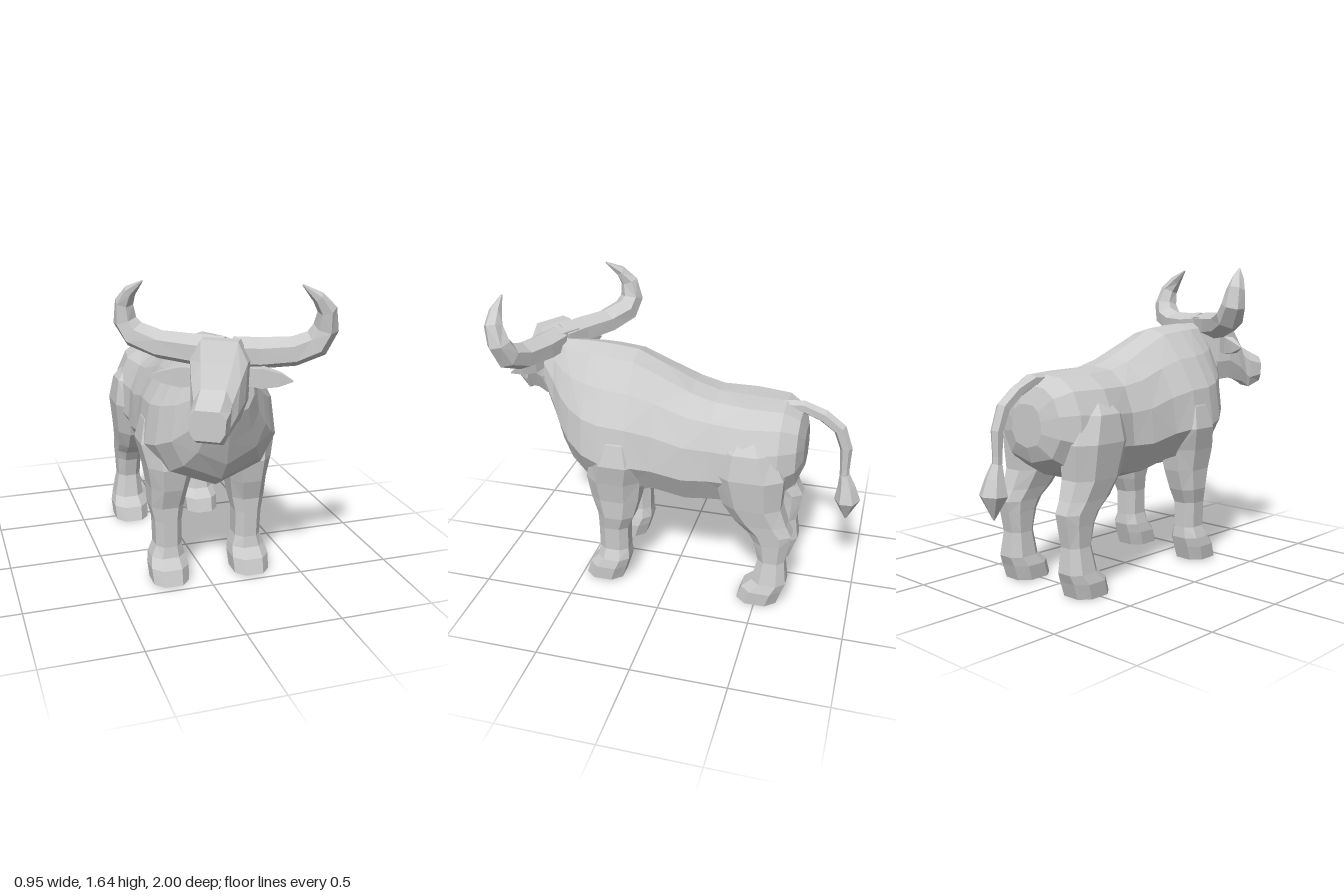
import * as THREE from 'three';

const hide = new THREE.MeshStandardMaterial({ color: 0xcccccc, flatShading: true });
hide.name = 'grey hide';
const CX = 0.02; // the trunk's mirror plane

// Skin a list of equal-sized rings of Vector3, close both ends, face outward.
function loft(name, rings) {
  const n = rings[0].length, tris = [];
  for (let i = 0; i + 1 < rings.length; i++) {
    for (let j = 0; j < n; j++) {
      const k = (j + 1) % n, a = rings[i], b = rings[i + 1];
      if (i % 2 === j % 2) tris.push([a[j], a[k], b[k]], [a[j], b[k], b[j]]);
      else tris.push([a[j], a[k], b[j]], [a[k], b[k], b[j]]);
    }
  }
  [rings[0], rings[rings.length - 1]].forEach((ring, end) => {
    const c = ring.reduce((s, p) => s.add(p), new THREE.Vector3()).divideScalar(n);
    for (let j = 0; j < n; j++) {
      const k = (j + 1) % n;
      tris.push(end ? [ring[j], ring[k], c] : [ring[k], ring[j], c]);
    }
  });
  const cross = new THREE.Vector3();
  const volume = tris.reduce((s, [a, b, c]) => s + a.dot(cross.crossVectors(b, c)), 0);
  if (volume < 0) tris.forEach(t => t.reverse());
  const geo = new THREE.BufferGeometry().setFromPoints(tris.flat());
  geo.computeVertexNormals();
  const mesh = new THREE.Mesh(geo, hide);
  mesh.name = name;
  return mesh;
}

// Tapered tube along [x, y, z, radius] stations; side is a fixed ring axis.
function taper(name, path, side, sides = 6, flatten = 1) {
  const pts = path.map(p => new THREE.Vector3(p[0], p[1], p[2]));
  const rings = path.map((p, i) => {
    const t = pts[Math.min(i + 1, pts.length - 1)].clone().sub(pts[Math.max(i - 1, 0)]).normalize();
    const u = side.clone().addScaledVector(t, -side.dot(t)).normalize();
    const v = new THREE.Vector3().crossVectors(t, u);
    return Array.from({ length: sides }, (_, j) => {
      const a = ((j + 0.5) / sides) * Math.PI * 2;
      return pts[i].clone().addScaledVector(u, Math.cos(a) * p[3] * flatten).addScaledVector(v, Math.sin(a) * p[3]);
    });
  });
  return loft(name, rings);
}

// Trunk and neck: [z, bottom, top, halfWidth, x shift]
function makeTrunk() {
  const rear = [[0, 1], [0.45, 0.98], [0.78, 0.86], [0.96, 0.64], [1, 0.36], [0.72, 0.1], [0, 0]];
  const fore = [[0, 1], [0.32, 0.96], [0.64, 0.79], [0.91, 0.58], [1, 0.32], [0.76, 0.13], [0, 0]];
  const sections = [
    [-0.695, 0.75, 0.97, 0.11, 0], [-0.665, 0.67, 1.06, 0.215, 0], [-0.58, 0.6, 1.11, 0.28, 0],
    [-0.4, 0.55, 1.12, 0.32, 0], [-0.22, 0.52, 1.13, 0.292, 0], [-0.09, 0.505, 1.17, 0.312, 0],
    [0.08, 0.53, 1.25, 0.322, 0], [0.22, 0.535, 1.315, 0.35, 0], [0.36, 0.535, 1.33, 0.35, 0],
    [0.46, 0.565, 1.335, 0.32, 0], [0.55, 0.63, 1.335, 0.262, 0], [0.615, 0.73, 1.335, 0.2, 0.005],
    [0.67, 0.86, 1.34, 0.15, -0.005], [0.735, 1.01, 1.35, 0.12, -0.025],
  ];
  return loft('trunk', sections.map(([z, lo, hi, w, dx]) => {
    const f = THREE.MathUtils.clamp((z + 0.3) / 0.5, 0, 1);
    const half = rear.map(([x, y], i) => [
      THREE.MathUtils.lerp(x, fore[i][0], f) * w,
      lo + THREE.MathUtils.lerp(y, fore[i][1], f) * (hi - lo)]);
    const mirror = half.slice(1, -1).reverse().map(([x, y]) => [-x, y]);
    return [...half, ...mirror].map(([x, y]) => new THREE.Vector3(CX + dx + x, y, z));
  }));
}

// Legs: [y, z front, z back, x inner, x outer] measured from the mirror plane
const foreLeg = [
  [0.02, 0.475, 0.265, 0.13, 0.32], [0.1, 0.45, 0.24, 0.125, 0.325], [0.15, 0.405, 0.225, 0.135, 0.315],
  [0.21, 0.395, 0.23, 0.152, 0.29], [0.35, 0.395, 0.23, 0.15, 0.295], [0.43, 0.395, 0.195, 0.135, 0.312],
  [0.54, 0.43, 0.165, 0.115, 0.315], [0.66, 0.45, 0.15, 0.08, 0.335], [0.78, 0.42, 0.13, 0.08, 0.362],
  [0.9, 0.36, 0.18, 0.1, 0.335], [0.98, 0.32, 0.24, 0.1, 0.29],
];
const hindLeg = [
  [0.01, -0.395, -0.615, 0.13, 0.32], [0.09, -0.42, -0.64, 0.125, 0.325], [0.14, -0.475, -0.66, 0.14, 0.31],
  [0.27, -0.5, -0.645, 0.155, 0.285], [0.38, -0.475, -0.665, 0.15, 0.29], [0.44, -0.44, -0.675, 0.145, 0.295],
  [0.5, -0.37, -0.645, 0.135, 0.3], [0.6, -0.3, -0.61, 0.11, 0.315], [0.78, -0.25, -0.62, 0.1, 0.335],
  [0.92, -0.29, -0.55, 0.1, 0.315], [1.0, -0.36, -0.48, 0.1, 0.25],
];
function makeLeg(name, rows, s) {
  const oct = [[0.5, 1], [1, 0.5], [1, -0.5], [0.5, -1], [-0.5, -1], [-1, -0.5], [-1, 0.5], [-0.5, 1]];
  return loft(name, rows.map(([y, zf, zb, xi, xo]) => oct.map(([u, v]) => new THREE.Vector3(
    CX + s * ((xi + xo) / 2 + u * (xo - xi) / 2), y, (zf + zb) / 2 + v * (zf - zb) / 2))));
}

// Head, turned to its right: [forward, y, halfWidth, halfHeight, backward lean of the top]
function makeHead() {
  const shape = [[0.65, 1], [1, 0.5], [0.95, -0.45], [0.68, -1], [-0.68, -1], [-0.95, -0.45], [-1, 0.5], [-0.65, 1]];
  const rows = [
    [-0.07, 1.22, 0.11, 0.15, 0], [0.03, 1.2, 0.135, 0.195, 0], [0.1, 1.205, 0.135, 0.19, 0.01],
    [0.17, 1.145, 0.115, 0.155, 0.03], [0.22, 1.08, 0.09, 0.115, 0.02], [0.25, 1.06, 0.092, 0.105, 0],
    [0.32, 1.06, 0.087, 0.07, 0],
  ];
  const head = loft('head', rows.map(([d, y, w, h, lean]) =>
    shape.map(([u, v]) => new THREE.Vector3(u * w, y + v * h, d - v * lean))));
  head.position.set(-0.025, 0, 0.68);
  head.rotation.y = -0.55;
  return head;
}

export function createModel() {
  const bull = new THREE.Group();
  bull.name = 'bull';
  bull.add(makeTrunk(), makeHead());
  for (const [side, s] of [['left', 1], ['right', -1]]) {
    bull.add(makeLeg(side + 'ForeLeg', foreLeg, s), makeLeg(side + 'HindLeg', hindLeg, s));
  }

  // Horns sweep out from the poll and hook upward
  const facing = new THREE.Vector3(-0.45, 0, 0.89);
  bull.add(taper('leftHorn', [
    [0.02, 1.32, 0.69, 0.075], [0.14, 1.315, 0.725, 0.075], [0.29, 1.325, 0.775, 0.071], [0.385, 1.365, 0.81, 0.069],
    [0.42, 1.44, 0.83, 0.06], [0.41, 1.53, 0.855, 0.045], [0.36, 1.59, 0.86, 0.03], [0.285, 1.648, 0.855, 0.004],
  ], facing, 6, 1.15));
  bull.add(taper('rightHorn', [
    [-0.02, 1.32, 0.68, 0.075], [-0.14, 1.325, 0.61, 0.075], [-0.28, 1.335, 0.505, 0.069], [-0.385, 1.375, 0.425, 0.067],
    [-0.425, 1.44, 0.4, 0.058], [-0.43, 1.53, 0.415, 0.045], [-0.41, 1.59, 0.46, 0.03], [-0.37, 1.645, 0.53, 0.004],
  ], facing, 6, 1.15));

  // Leaf-shaped ears below the horns
  bull.add(taper('leftEar', [
    [0.05, 1.22, 0.75, 0.055], [0.13, 1.215, 0.79, 0.068], [0.2, 1.21, 0.83, 0.045], [0.255, 1.205, 0.86, 0.004],
  ], facing, 4, 0.55));
  bull.add(taper('rightEar', [
    [-0.1, 1.22, 0.7, 0.055], [-0.22, 1.21, 0.64, 0.068], [-0.29, 1.205, 0.605, 0.045], [-0.36, 1.205, 0.57, 0.004],
  ], facing, 4, 0.55));

  // Tail and its tuft
  const across = new THREE.Vector3(1, 0, 0);
  bull.add(taper('tail', [
    [0.02, 1.08, -0.54, 0.03], [0.01, 1.085, -0.66, 0.034], [0, 1.04, -0.77, 0.036], [-0.005, 0.97, -0.86, 0.036],
    [-0.005, 0.86, -0.9, 0.033], [-0.005, 0.74, -0.902, 0.026], [-0.005, 0.67, -0.905, 0.026],
  ], across));
  bull.add(taper('tailTuft', [
    [-0.005, 0.7, -0.905, 0.028], [-0.005, 0.63, -0.92, 0.048], [-0.005, 0.55, -0.93, 0.07], [-0.005, 0.43, -0.93, 0.004],
  ], across, 6, 1.1));
  return bull;
}
